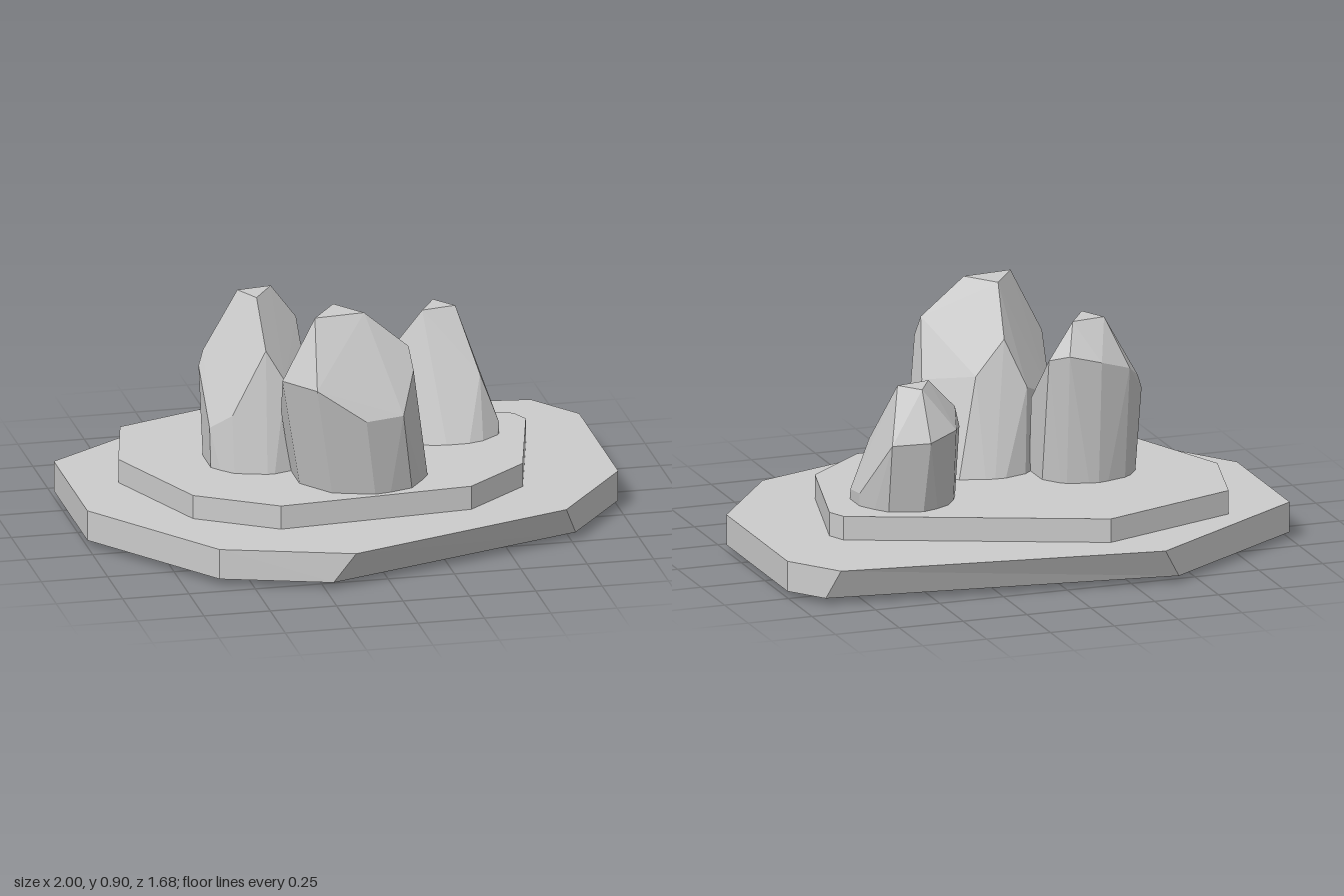
import * as THREE from 'three';
import { ConvexGeometry } from 'three/addons/geometries/ConvexGeometry.js';

const material = new THREE.MeshStandardMaterial({ color: 0xcccccc, flatShading: true, side: THREE.DoubleSide });

function mesh(name, geometry) {
  const m = new THREE.Mesh(geometry, material);
  m.name = name;
  return m;
}

function fromPositions(positions) {
  const g = new THREE.BufferGeometry();
  g.setAttribute('position', new THREE.Float32BufferAttribute(positions, 3));
  g.computeVertexNormals();
  return g;
}

// Flat polygon at height y from [x, z] corners, with an optional hole
function cap(outline, y, hole) {
  const flat = (pts) => pts.map(([x, z]) => new THREE.Vector2(x, -z));
  const shape = new THREE.Shape(flat(outline));
  if (hole) shape.holes.push(new THREE.Path(flat(hole)));
  return new THREE.ShapeGeometry(shape).rotateX(-Math.PI / 2).translate(0, y, 0);
}

// Band of quads between two outlines with matching corners
function wall(low, y0, high, y1) {
  const p = [];
  for (let i = 0; i < low.length; i++) {
    const j = (i + 1) % low.length;
    const a = [low[i][0], y0, low[i][1]], b = [low[j][0], y0, low[j][1]];
    const c = [high[j][0], y1, high[j][1]], d = [high[i][0], y1, high[i][1]];
    p.push(...a, ...c, ...b, ...a, ...d, ...c);
  }
  return fromPositions(p);
}

// Slab open at the bottom
function slab(name, low, y0, high, y1, hole) {
  const g = new THREE.Group();
  g.name = name;
  g.add(mesh(name + 'Wall', wall(low, y0, high, y1)), mesh(name + 'Top', cap(high, y1, hole)));
  return g;
}

// Faceted crystal: round foot joined to cut corners above, open underneath
function crystal(name, [cx, y0, cz], radius, corners) {
  const sides = 10;
  const pts = corners.map((c) => new THREE.Vector3(...c));
  for (let i = 0; i < sides; i++) {
    const a = ((i + 0.5) / sides) * Math.PI * 2;
    pts.push(new THREE.Vector3(cx + radius * Math.cos(a), y0, cz + radius * Math.sin(a)));
  }
  const p = new ConvexGeometry(pts).getAttribute('position');
  const kept = [];
  for (let i = 0; i < p.count; i += 3) {
    const tri = [i, i + 1, i + 2];
    if (tri.every((k) => p.getY(k) < y0 + 0.005)) continue;
    for (const k of tri) kept.push(p.getX(k), p.getY(k), p.getZ(k));
  }
  return mesh(name, fromPositions(kept));
}

export function createModel() {
  const group = new THREE.Group();
  group.name = 'crystalRocks';

  // Wide lower slab, its foot slightly skewed from its top
  const lowerTop = [[-0.35, -0.845], [0.86, -0.68], [1, -0.49], [1, 0.16], [0.72, 0.535],
    [-0.14, 0.84], [-0.62, 0.685], [-1, 0.16], [-1, -0.4]];
  const lowerFoot = [[-0.42, -0.797], [0.9, -0.626], [1, -0.49], [1, 0.16], [0.77, 0.468],
    [-0.22, 0.815], [-0.62, 0.685], [-1, 0.16], [-1, -0.4]];
  // Smaller upper slab
  const upper = [[-0.2, -0.67], [0.71, -0.3], [0.74, -0.23], [0.62, 0.25], [0.38, 0.455],
    [-0.35, 0.515], [-0.64, 0.33], [-0.82, -0.12], [-0.735, -0.47]];
  group.add(slab('lowerSlab', lowerFoot, 0.025, lowerTop, 0.14, upper));
  group.add(slab('upperSlab', upper, 0.14, upper, 0.23));

  // Tall crystal at the front
  group.add(crystal('frontCrystal', [0.05, 0.01, 0.17], 0.25, [
    [-0.19, 0.9, 0.37], [0, 0.9, 0.35], [-0.09, 0.9, 0.23],
    [-0.21, 0.66, 0.5], [-0.03, 0.535, 0.525], [0.115, 0.54, 0.5],
    [0.165, 0.76, 0.36], [0.175, 0.68, 0.4], [0.205, 0.555, 0.24],
    [-0.055, 0.73, 0.07], [0.06, 0.6, 0.06],
    [-0.31, 0.66, 0.36], [-0.27, 0.47, 0.16], [-0.13, 0.55, 0.03],
  ]));

  // Middle crystal on the model's right
  group.add(crystal('rightCrystal', [-0.325, 0.015, 0], 0.19, [
    [-0.365, 0.845, -0.15], [-0.235, 0.845, -0.17], [-0.315, 0.845, -0.05],
    [-0.315, 0.69, 0.105], [-0.44, 0.445, 0.1], [-0.245, 0.57, 0.12],
    [-0.135, 0.517, 0], [-0.135, 0.71, -0.19], [-0.51, 0.38, 0.03],
    [-0.51, 0.56, -0.155], [-0.49, 0.615, -0.17],
    [-0.2, 0.73, -0.235], [-0.32, 0.7, -0.25], [-0.44, 0.66, -0.22],
  ]));

  // Short crystal at the back left
  group.add(crystal('leftCrystal', [0.415, 0, -0.095], 0.19, [
    [0.345, 0.69, -0.21], [0.475, 0.69, -0.235], [0.41, 0.69, -0.32],
    [0.23, 0.57, -0.18], [0.22, 0.5, -0.2], [0.4, 0.45, -0.11], [0.54, 0.46, -0.11],
    [0.61, 0.27, -0.1], [0.61, 0.28, -0.2], [0.545, 0.5, -0.37],
    [0.41, 0.51, -0.415], [0.285, 0.53, -0.345],
  ]));

  return group;
}
